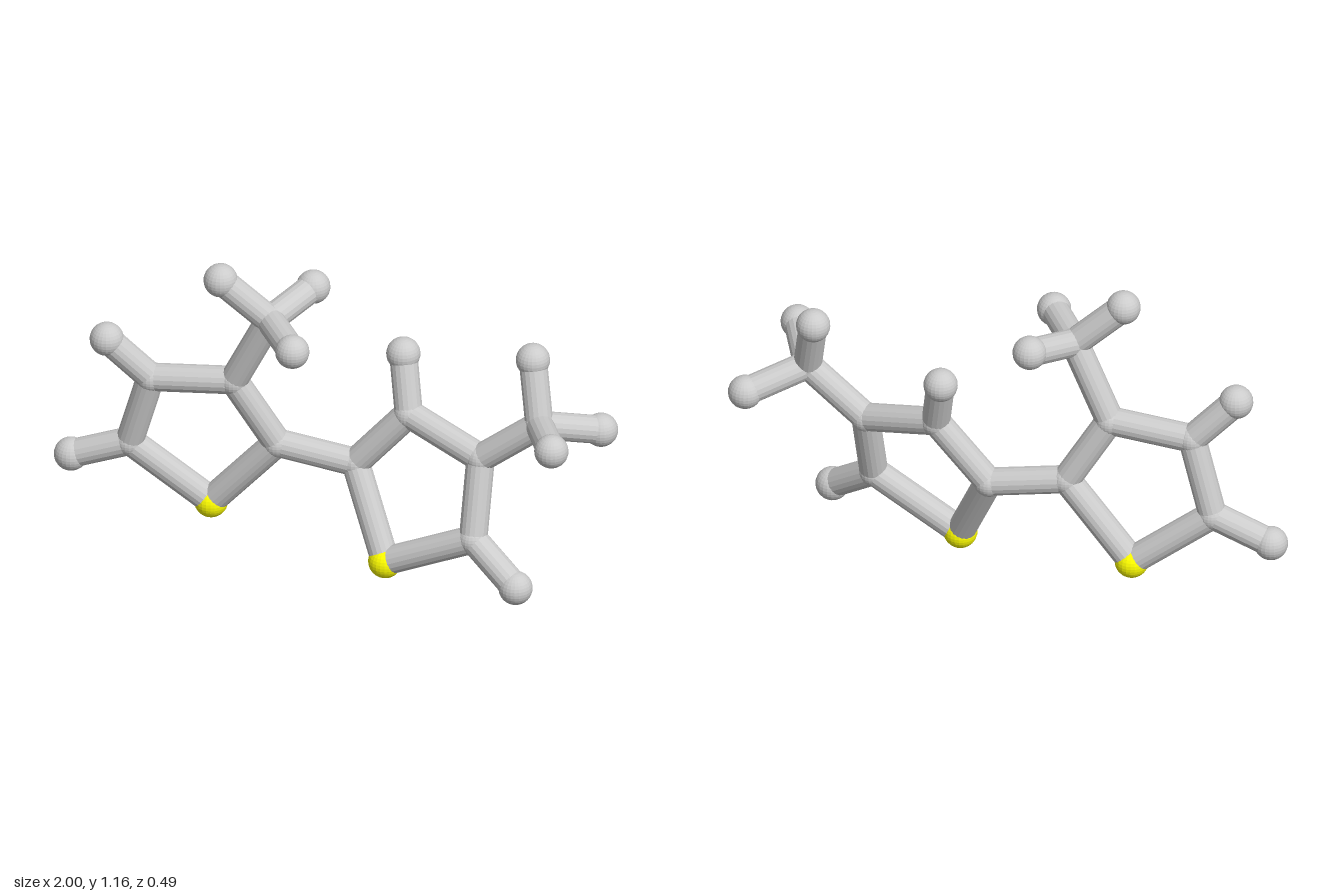
import * as THREE from 'three';

const BOND_RADIUS = 0.05;
const RADII = { carbon: 0.054, sulfur: 0.06, hydrogen: 0.06 };

// Atom centres of the two five-sided rings, each with a methyl branch
const RINGS = {
  rightRing: {
    sulfur: [-0.45, 0.14, -0.075],
    carbonInner: [-0.205, 0.42, -0.065],
    carbonUpperInner: [-0.35, 0.67, -0.02],
    carbonUpperOuter: [-0.645, 0.645, 0.005],
    carbonOuter: [-0.73, 0.36, -0.02],
    carbonMethyl: [-0.21, 0.95, 0.005],
    hydrogenUpper: [-0.79, 0.8, 0.055],
    hydrogenOuter: [-0.94, 0.28, -0.005],
    hydrogenMethylA: [-0.375, 1.105, 0.05],
    hydrogenMethylB: [-0.11, 1.0, -0.18],
    hydrogenMethylC: [-0.07, 0.945, 0.185],
  },
  leftRing: {
    sulfur: [0.215, 0.06, 0.013],
    carbonInner: [0.07, 0.37, -0.1],
    carbonUpperInner: [0.26, 0.59, -0.115],
    carbonUpperOuter: [0.545, 0.5, -0.045],
    carbonOuter: [0.545, 0.22, 0.04],
    carbonMethyl: [0.76, 0.67, -0.045],
    hydrogenUpper: [0.22, 0.79, -0.178],
    hydrogenOuter: [0.72, 0.09, 0.103],
    hydrogenMethylA: [0.715, 0.887, -0.112],
    hydrogenMethylB: [0.87, 0.697, 0.162],
    hydrogenMethylC: [0.94, 0.605, -0.187],
  },
};

// Bonds shared by both rings
const BONDS = [
  ['sulfur', 'carbonInner'],
  ['carbonInner', 'carbonUpperInner'],
  ['carbonUpperInner', 'carbonUpperOuter'],
  ['carbonUpperOuter', 'carbonOuter'],
  ['carbonOuter', 'sulfur'],
  ['carbonOuter', 'hydrogenOuter'],
  ['carbonMethyl', 'hydrogenMethylA'],
  ['carbonMethyl', 'hydrogenMethylB'],
  ['carbonMethyl', 'hydrogenMethylC'],
];

// The methyl branch and the upper hydrogen swap places between the rings
const BRANCHES = {
  rightRing: [['carbonUpperInner', 'carbonMethyl'], ['carbonUpperOuter', 'hydrogenUpper']],
  leftRing: [['carbonUpperOuter', 'carbonMethyl'], ['carbonUpperInner', 'hydrogenUpper']],
};

export function createModel() {
  const grey = new THREE.MeshStandardMaterial({ color: 0xcccccc, flatShading: true });
  const yellow = new THREE.MeshStandardMaterial({ color: 0xffff00, flatShading: true });
  const up = new THREE.Vector3(0, 1, 0);
  const model = new THREE.Group();
  model.name = 'molecule';

  // Ball at an atom centre
  function addAtom(parent, name, position) {
    const kind = Object.keys(RADII).find((k) => name.startsWith(k));
    const ball = new THREE.Mesh(
      new THREE.SphereGeometry(RADII[kind], 24, 16),
      kind === 'sulfur' ? yellow : grey
    );
    ball.position.set(...position);
    ball.name = name;
    parent.add(ball);
  }

  // Rod between two atom centres
  function addBond(parent, name, from, to) {
    const a = new THREE.Vector3(...from);
    const b = new THREE.Vector3(...to);
    const rod = new THREE.Mesh(
      new THREE.CylinderGeometry(BOND_RADIUS, BOND_RADIUS, a.distanceTo(b), 18),
      grey
    );
    rod.position.copy(a).lerp(b, 0.5);
    rod.quaternion.setFromUnitVectors(up, b.sub(a).normalize());
    rod.name = name;
    parent.add(rod);
  }

  for (const [ringName, atoms] of Object.entries(RINGS)) {
    const ring = new THREE.Group();
    ring.name = ringName;
    for (const [name, position] of Object.entries(atoms)) addAtom(ring, name, position);
    for (const [a, b] of [...BONDS, ...BRANCHES[ringName]]) {
      addBond(ring, `bond ${a} to ${b}`, atoms[a], atoms[b]);
    }
    model.add(ring);
  }

  // Rod joining the two rings
  addBond(model, 'ringBridge', RINGS.rightRing.carbonInner, RINGS.leftRing.carbonInner);
  return model;
}
